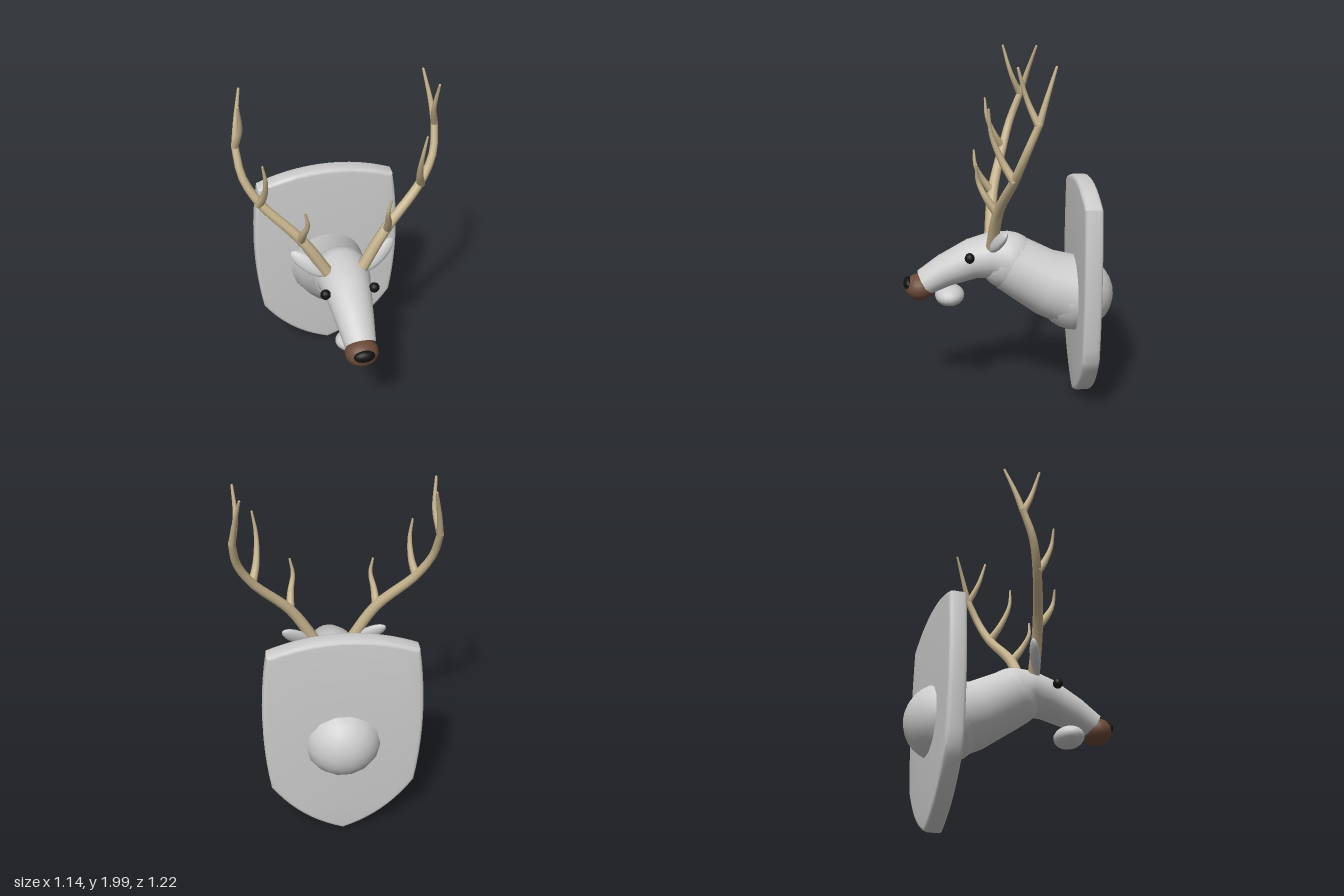
import * as THREE from 'three';
import { toCreasedNormals } from 'three/addons/utils/BufferGeometryUtils.js';

const material = (name, color, side = THREE.FrontSide) => {
  const m = new THREE.MeshStandardMaterial({ color, side });
  m.name = name;
  return m;
};

// Skin through elliptical rings: [y, z, radiusX, radiusY, tilt]
function loft(rings, sides = 24) {
  const pos = [], index = [];
  rings.forEach(([y, z, rx, ry, tilt], r) => {
    for (let i = 0; i < sides; i++) {
      const a = (i / sides) * Math.PI * 2, up = Math.sin(a) * ry;
      pos.push(Math.cos(a) * rx, y + up * Math.cos(tilt), z - up * Math.sin(tilt));
      if (r === rings.length - 1) continue;
      const p = r * sides + i, q = r * sides + ((i + 1) % sides);
      index.push(p, q, p + sides, q, q + sides, p + sides);
    }
  });
  const g = new THREE.BufferGeometry();
  g.setAttribute('position', new THREE.Float32BufferAttribute(pos, 3));
  g.setIndex(index);
  g.computeVertexNormals();
  return g;
}

// Round tube that narrows from r0 to r1 along a smooth path
function taperedTube(points, r0, r1, segments = 16, sides = 8) {
  const curve = new THREE.CatmullRomCurve3(points);
  const g = new THREE.TubeGeometry(curve, segments, 1, sides);
  const p = g.attributes.position, v = new THREE.Vector3();
  for (let i = 0; i < p.count; i++) {
    const t = Math.floor(i / (sides + 1)) / segments;
    const c = curve.getPointAt(t);
    v.fromBufferAttribute(p, i).sub(c).multiplyScalar(r0 + (r1 - r0) * t).add(c);
    p.setXYZ(i, v.x, v.y, v.z);
  }
  return g;
}

export function createModel() {
  const group = new THREE.Group();
  const grey = material('grey', 0xcccccc);
  const bone = material('bone', 0xc8b58e);
  const brown = material('brown', 0x6b4a38);
  const black = material('black', 0x111111);

  const add = (name, geometry, mat, parent = group) => {
    const mesh = new THREE.Mesh(geometry, mat);
    mesh.name = name;
    parent.add(mesh);
    return mesh;
  };
  const ellipsoid = (name, mat, center, radii, w = 20, h = 14) => {
    const mesh = add(name, new THREE.SphereGeometry(1, w, h), mat);
    mesh.position.set(...center);
    mesh.scale.set(...radii);
    return mesh;
  };

  // Shield-shaped backboard with a softened edge
  const outline = new THREE.Shape();
  outline.moveTo(0, 0.005);
  outline.quadraticCurveTo(0.25, 0.09, 0.405, 0.34);
  outline.quadraticCurveTo(0.475, 0.78, 0.405, 1.22);
  outline.quadraticCurveTo(0.21, 1.3, 0, 1.3);
  outline.quadraticCurveTo(-0.21, 1.3, -0.405, 1.22);
  outline.quadraticCurveTo(-0.475, 0.78, -0.405, 0.34);
  outline.quadraticCurveTo(-0.25, 0.09, 0, 0.005);
  const board = new THREE.ExtrudeGeometry(outline, {
    depth: 0.06, bevelThickness: 0.02, bevelSize: 0.02, bevelOffset: -0.02, bevelSegments: 3, curveSegments: 10,
  });
  board.translate(0, 0, -0.46);
  add('backboard', toCreasedNormals(board, 0.6), grey);

  // Neck, its rounded base, and the head
  ellipsoid('neckBase', grey, [0, 0.62, -0.39], [0.225, 0.22, 0.22], 14, 14).rotation.x = Math.PI / 2;
  add('neck', loft([
    [0.62, -0.39, 0.225, 0.22, 0.05],
    [0.69, -0.21, 0.2, 0.19, 0.3],
    [0.82, 0, 0.166, 0.166, 0.47],
  ]), grey);
  ellipsoid('cranium', grey, [0, 0.825, 0], [0.166, 0.168, 0.166]);
  add('head', loft([
    [0.83, 0, 0.166, 0.165, 0],
    [0.86, 0.1, 0.15, 0.13, -0.1],
    [0.84, 0.21, 0.13, 0.115, -0.25],
    [0.772, 0.37, 0.106, 0.093, -0.4],
    [0.705, 0.485, 0.088, 0.077, -0.5],
  ]), grey);
  ellipsoid('jaw', grey, [0, 0.625, 0.34], [0.11, 0.06, 0.085]);
  ellipsoid('muzzle', brown, [0, 0.678, 0.51], [0.095, 0.077, 0.085]);
  ellipsoid('nose', black, [0, 0.702, 0.575], [0.06, 0.036, 0.03], 16, 10);

  // Paired parts: eyes, ears and antlers
  for (const [s, side] of [[1, 'left'], [-1, 'right']]) {
    ellipsoid(side + 'Eye', black, [0.14 * s, 0.885, 0.227], [0.03, 0.03, 0.028], 12, 10);

    const ear = ellipsoid(side + 'Ear', grey, [0.207 * s, 0.995, 0.07], [0.045, 0.117, 0.026]);
    ear.quaternion.setFromUnitVectors(
      new THREE.Vector3(0, 1, 0), new THREE.Vector3(0.175 * s, 0.135, -0.08).normalize());

    const antler = new THREE.Group();
    antler.name = side + 'Antler';
    group.add(antler);
    // Branch points are scaled from the first one, which is the root
    const branch = (name, pts, r0, r1, size = 1) => {
      const root = new THREE.Vector3(...pts[0]);
      const path = pts.map((p) => new THREE.Vector3(...p).sub(root).multiplyScalar(size).add(root));
      path.forEach((p) => { p.x *= s; });
      add(name, taperedTube(path, r0, r1), bone, antler);
      const tip = add(name + 'Tip', new THREE.SphereGeometry(r1, 8, 6), bone, antler);
      tip.position.copy(path[path.length - 1]);
    };
    branch('beam', [[0.09, 0.92, 0.1], [0.24, 1.17, 0.075], [0.45, 1.4, 0],
      [0.53, 1.55, -0.05], [0.55, 1.71, -0.115]], 0.036, 0.02);
    branch('rearTine', [[0.55, 1.7, -0.112], [0.53, 1.84, -0.155], [0.5, 1.99, -0.205]], 0.02, 0.007);
    branch('topTine', [[0.55, 1.7, -0.112], [0.524, 1.83, -0.055], [0.532, 1.99, -0.008]], 0.02, 0.007);
    branch('middleTine', [[0.455, 1.39, 0], [0.425, 1.5, 0.065], [0.418, 1.64, 0.12], [0.435, 1.77, 0.133]],
      0.025, 0.006, s > 0 ? 1 : 0.8);
    branch('lowerTine', [[0.245, 1.18, 0.085], [0.237, 1.26, 0.14], [0.22, 1.35, 0.182], [0.235, 1.44, 0.19]],
      0.025, 0.006, s > 0 ? 1 : 0.93);
  }
  return group;
}
